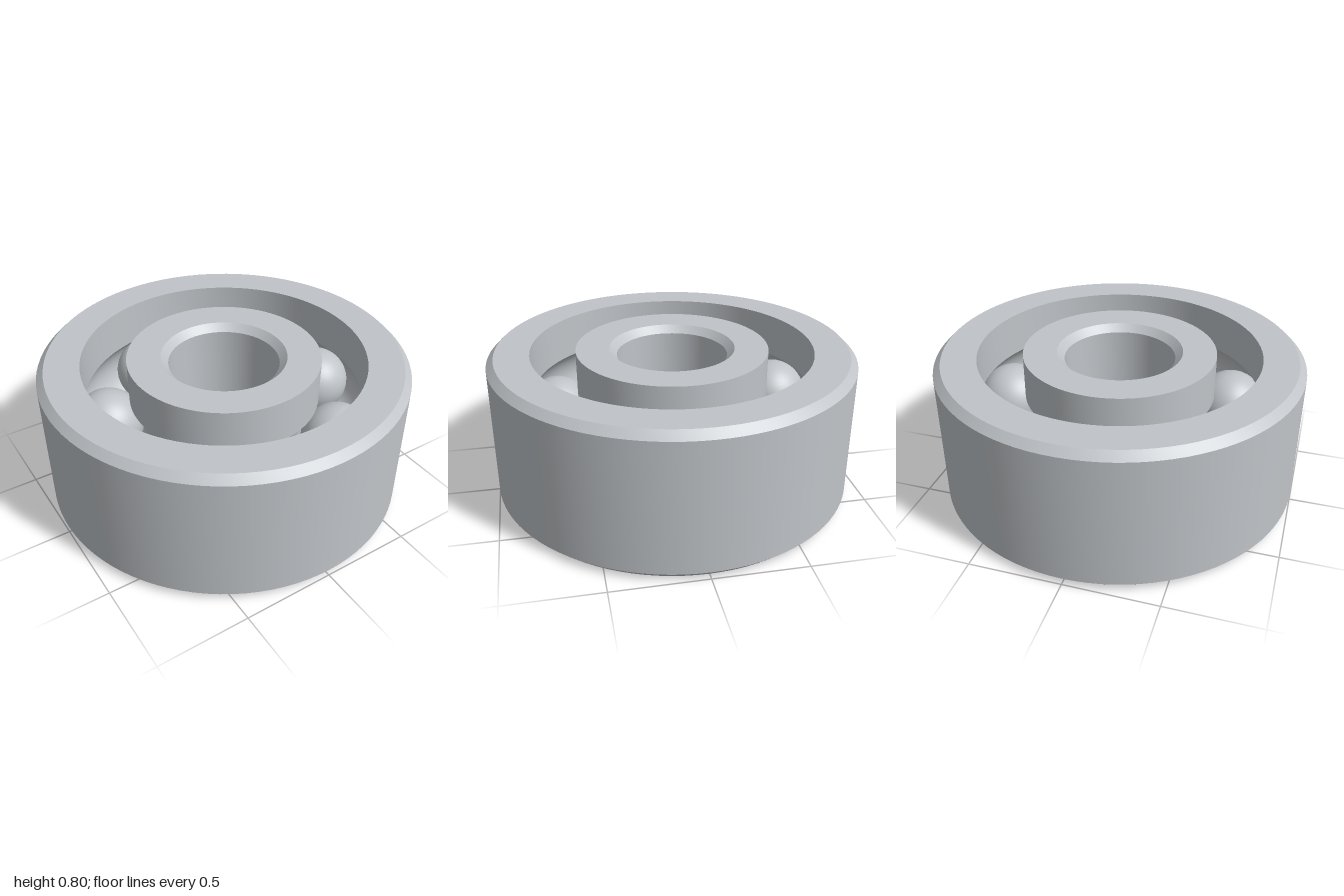
import * as THREE from 'three';
import { toCreasedNormals } from 'three/addons/utils/BufferGeometryUtils.js';

const HEIGHT = 0.8, MID = HEIGHT / 2, CHAMFER = 0.04;
const PITCH = 0.65, BALL = 0.195, GROOVE = 0.198, BALLS = 7;

// Points of the ball groove cut into a wall of the given radius, from bottom to top
function groove(wall) {
  const dx = wall - PITCH;
  const side = Math.sign(dx);
  const half = Math.acos(Math.abs(dx) / GROOVE);
  const points = [];
  for (let i = 0; i <= 14; i++) {
    const a = -half + (2 * half * i) / 14;
    points.push([PITCH + side * GROOVE * Math.cos(a), MID + GROOVE * Math.sin(a)]);
  }
  return points;
}

// Closed ring turned from a counter-clockwise (radius, y) profile
function ring(name, profile, material) {
  const points = [...profile, profile[0]].map(([r, y]) => new THREE.Vector2(r, y));
  const geometry = toCreasedNormals(new THREE.LatheGeometry(points, 96), 0.4);
  const mesh = new THREE.Mesh(geometry, material);
  mesh.name = name;
  return mesh;
}

export function createModel() {
  const steel = new THREE.MeshStandardMaterial({ color: 0xc0c4c8 });
  steel.name = 'steel';
  const model = new THREE.Group();
  model.name = 'ballBearing';

  // Outer race: chamfered outside, grooved inside
  const outerWall = 0.77;
  model.add(ring('outerRace', [
    [outerWall, 0], [1 - CHAMFER, 0], [1, CHAMFER],
    [1, HEIGHT - CHAMFER], [1 - CHAMFER, HEIGHT], [outerWall, HEIGHT],
    ...groove(outerWall).reverse(),
  ], steel));

  // Inner race: grooved outside, chamfered bore
  const innerWall = 0.525, bore = 0.302;
  model.add(ring('innerRace', [
    [bore + CHAMFER, 0], [innerWall, 0],
    ...groove(innerWall),
    [innerWall, HEIGHT], [bore + CHAMFER, HEIGHT],
    [bore, HEIGHT - CHAMFER], [bore, CHAMFER],
  ], steel));

  // Balls evenly spaced round the pitch circle, the first on +x
  const ballGeometry = new THREE.SphereGeometry(BALL, 40, 24);
  const balls = new THREE.Group();
  balls.name = 'balls';
  for (let i = 0; i < BALLS; i++) {
    const a = (i / BALLS) * Math.PI * 2;
    const ball = new THREE.Mesh(ballGeometry, steel);
    ball.name = `ball${i + 1}`;
    ball.position.set(PITCH * Math.cos(a), MID, PITCH * Math.sin(a));
    balls.add(ball);
  }
  model.add(balls);

  return model;
}
